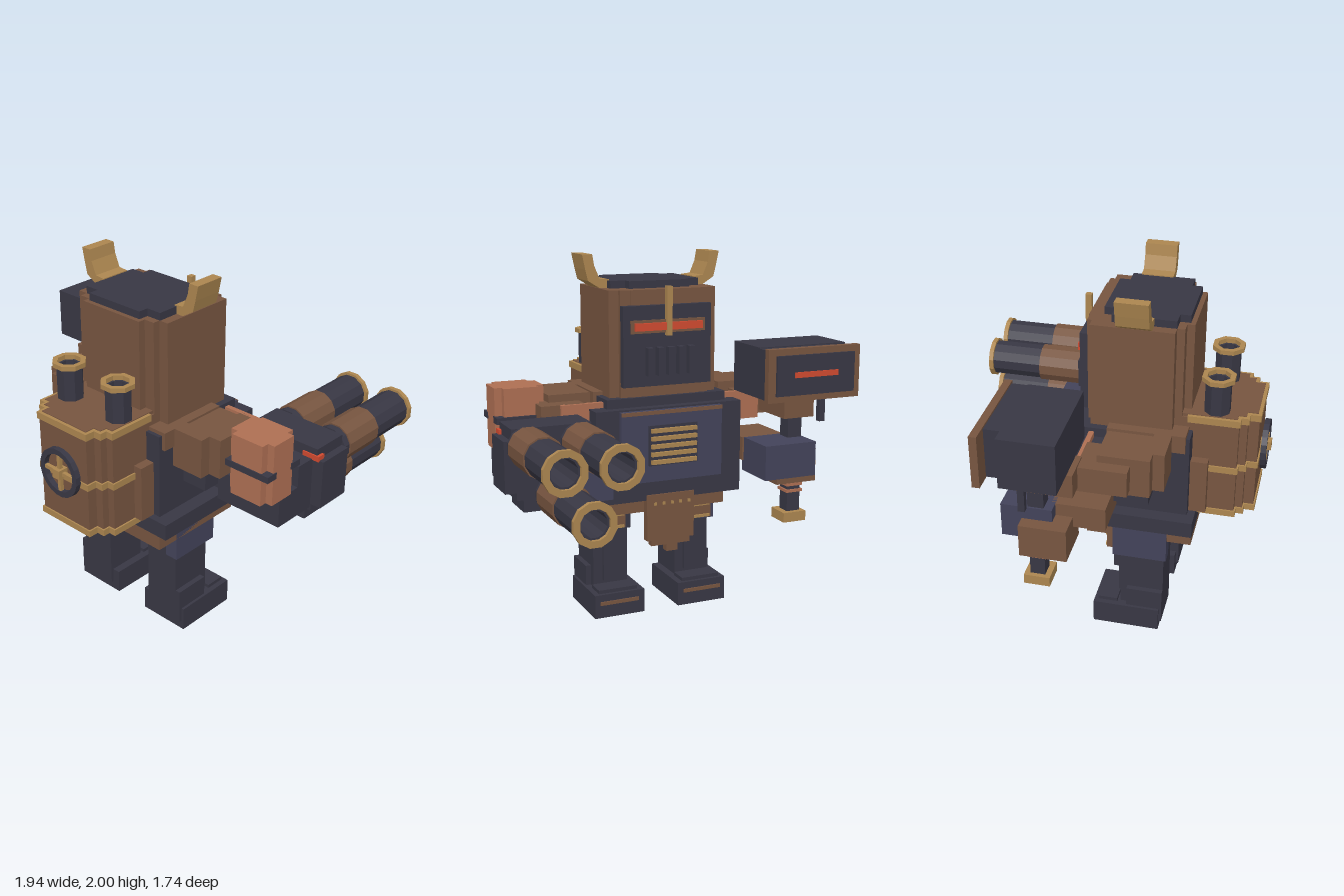
import * as THREE from 'three';

const mat = (name, color) => {
  const m = new THREE.MeshStandardMaterial({ color });
  m.name = name;
  return m;
};

export function createModel() {
  const root = new THREE.Group();
  root.name = 'steamRobot';
  const brown = mat('brown', 0x775540), dark = mat('charcoal', 0x383744), navy = mat('slate', 0x43435a);
  const gold = mat('brass', 0xac8650), copper = mat('copper', 0xae6f53), red = mat('glow red', 0xd04a30);

  const add = (name, geo, m) => {
    const mesh = new THREE.Mesh(geo, m);
    mesh.name = name;
    root.add(mesh);
    return mesh;
  };
  // box given by its limits on each axis
  const box = (name, m, x0, x1, y0, y1, z0, z1) => {
    const mesh = add(name, new THREE.BoxGeometry(x1 - x0, y1 - y0, z1 - z0), m);
    mesh.position.set((x0 + x1) / 2, (y0 + y1) / 2, (z0 + z1) / 2);
    return mesh;
  };
  // the same box on both sides of x = 0
  const pair = (name, m, x0, x1, ...r) => {
    box('left ' + name, m, x0, x1, ...r);
    box('right ' + name, m, -x1, -x0, ...r);
  };
  // faceted hollow tube along +z
  const tube = (name, m, r, inner, depth, sides, x, y, z) => {
    const ring = (q) => Array.from({ length: sides }, (_, i) => {
      const a = (i + 0.5) / sides * Math.PI * 2;
      return new THREE.Vector2(q * Math.cos(a), q * Math.sin(a));
    });
    const s = new THREE.Shape(ring(r));
    s.holes.push(new THREE.Path(ring(inner).reverse()));
    const mesh = add(name, new THREE.ExtrudeGeometry(s, { depth, bevelEnabled: false }), m);
    mesh.position.set(x, y, z);
    return mesh;
  };

  // legs and feet
  pair('foot', dark, 0.105, 0.4, 0, 0.135, -0.02, 0.35);
  pair('toe step', dark, 0.14, 0.37, 0.13, 0.155, 0, 0.11);
  pair('toe strap', brown, 0.14, 0.37, 0.075, 0.095, -0.028, -0.015);
  pair('ankle', dark, 0.15, 0.385, 0.05, 0.25, 0.165, 0.365);
  pair('shin', dark, 0.15, 0.355, 0.13, 0.48, 0.125, 0.365);
  pair('shin ridge', dark, 0.2, 0.3, 0.17, 0.47, 0.105, 0.14);
  pair('thigh', dark, 0.14, 0.36, 0.47, 0.7, 0.09, 0.375);
  pair('thigh plate', navy, 0.3, 0.375, 0.47, 0.69, 0.085, 0.38);
  pair('knee plate', brown, 0.19, 0.34, 0.49, 0.59, 0.045, 0.1);
  for (const y of [0.5, 0.57]) pair('knee stud', gold, 0.2, 0.33, y - 0.008, y + 0.008, 0.036, 0.05);

  // waist, belt and hanging cloth
  box('skirt', brown, -0.365, 0.375, 0.6, 0.7, -0.06, 0.51);
  box('belt', dark, -0.42, 0.43, 0.69, 0.78, -0.15, 0.45);
  box('belt front', dark, -0.42, 0.43, 0.69, 0.78, 0.4, 0.52);
  const cloth = new THREE.Shape([[-0.135, 0.72], [-0.135, 0.46], [-0.11, 0.46], [-0.11, 0.43], [-0.035, 0.43],
    [-0.035, 0.39], [0.03, 0.39], [0.03, 0.43], [0.12, 0.43], [0.12, 0.46], [0.145, 0.46], [0.145, 0.72]]
    .map(p => new THREE.Vector2(...p)));
  add('cloth', new THREE.ExtrudeGeometry(cloth, { depth: 0.045, bevelEnabled: false }), brown).position.z = -0.158;
  for (let i = 0; i < 5; i++) box('cloth stud', gold, -0.11 + i * 0.05, -0.095 + i * 0.05, 0.66, 0.675, -0.165, -0.155);

  // torso and chest
  box('torso', dark, -0.345, 0.35, 0.78, 1.25, -0.1, 0.48);
  box('chest', dark, -0.42, 0.43, 0.78, 1.2, -0.15, 0.06);
  box('collar', brown, -0.36, 0.37, 1.17, 1.27, 0.05, 0.46);
  box('chest plate', navy, -0.29, 0.3, 0.8, 1.19, -0.18, -0.14);
  box('chest plate rim', brown, -0.29, 0.3, 1.17, 1.19, -0.187, -0.18);
  box('grille back', dark, -0.14, 0.145, 0.89, 1.11, -0.188, -0.18);
  for (let i = 0; i < 5; i++) box('grille bar', gold, -0.13, 0.135, 0.9 + i * 0.043, 0.922 + i * 0.043, -0.205, -0.18);

  // boiler in three stepped slabs with brass bands
  const slabs = [[0.255, 0.715], [0.215, 0.755], [0.17, 0.81]];
  for (const [w, z] of slabs) {
    box('boiler', brown, -w + 0.005, w + 0.005, 0.74, 1.325, 0.4, z);
    for (const [y0, y1] of [[0.745, 0.78], [1.015, 1.05], [1.3, 1.337]])
      box('boiler band', gold, -w - 0.004, w + 0.014, y0, y1, 0.45, z + 0.008);
    box('boiler lid', brown, -w + 0.015, w - 0.005, 1.32, 1.341, 0.4, z - 0.01);
  }
  box('boiler side', brown, -0.3, 0.31, 0.78, 1.09, 0.36, 0.57);

  // valve wheel
  tube('wheel rim', dark, 0.135, 0.105, 0.03, 20, 0.005, 1.065, 0.822);
  box('wheel spoke', gold, -0.1, 0.11, 1.055, 1.075, 0.828, 0.848);
  box('wheel spoke', gold, -0.005, 0.015, 0.96, 1.17, 0.828, 0.848);
  box('wheel hub', gold, -0.02, 0.03, 1.04, 1.09, 0.81, 0.868);

  // chimneys
  for (const x of [-0.17, 0.18]) {
    const pipe = tube('chimney', dark, 0.07, 0.05, 0.19, 8, x, 1.33, 0.59);
    const rim = tube('chimney rim', gold, 0.09, 0.062, 0.025, 8, x, 1.52, 0.59);
    pipe.rotation.x = rim.rotation.x = -Math.PI / 2;
    box('chimney core', dark, x - 0.045, x + 0.045, 1.33, 1.46, 0.545, 0.635);
  }

  // head, stepped at the corners
  box('head', brown, -0.305, 0.315, 1.25, 1.82, -0.05, 0.38);
  box('head', brown, -0.25, 0.26, 1.25, 1.82, -0.075, 0.42);
  box('head', brown, -0.19, 0.2, 1.25, 1.82, -0.08, 0.46);
  box('head cap', dark, -0.25, 0.265, 1.81, 1.86, 0.05, 0.38);
  box('head cap', dark, -0.17, 0.18, 1.81, 1.86, -0.005, 0.435);

  // face
  box('face plate', dark, -0.25, 0.26, 1.31, 1.74, -0.115, -0.07);
  box('visor frame', brown, -0.21, 0.22, 1.595, 1.665, -0.123, -0.11);
  box('visor', red, -0.19, 0.2, 1.61, 1.65, -0.14, -0.115);
  box('nose rod', gold, -0.01, 0.02, 1.58, 1.84, -0.145, -0.112);
  for (let i = 0; i < 5; i++) box('vent bar', dark, -0.14 + i * 0.06, -0.105 + i * 0.06, 1.37, 1.52, -0.155, -0.1);

  // horns
  for (const s of [1, -1]) {
    const pts = [[0.25, 1.82], [0.305, 1.82], [0.37, 1.86], [0.385, 1.92], [0.402, 2], [0.345, 2], [0.335, 1.94], [0.305, 1.87], [0.25, 1.865]];
    const horn = new THREE.Shape(pts.map(([x, y]) => new THREE.Vector2(s * x + 0.003, y)));
    add('horn', new THREE.ExtrudeGeometry(horn, { depth: 0.17, bevelEnabled: false }), gold).position.z = 0.095;
  }

  // shoulders and upper arms
  pair('shoulder', brown, 0.385, 0.62, 1.055, 1.27, 0.06, 0.33);
  pair('shoulder front', brown, 0.36, 0.55, 1.055, 1.27, 0.3, 0.39);
  pair('shoulder back', brown, 0.45, 0.69, 1.09, 1.23, -0.03, 0.23);
  pair('shoulder plate', copper, 0.345, 0.585, 1.07, 1.23, -0.048, -0.02);
  pair('upper arm', dark, 0.34, 0.5, 0.92, 1.06, 0.02, 0.3);
  pair('forearm', navy, 0.44, 0.75, 0.8, 0.99, -0.41, -0.14);

  // left arm: copper tank with clamps
  box('tank', copper, 0.63, 0.9, 0.985, 1.32, 0.11, 0.26);
  box('tank', copper, 0.67, 0.86, 0.985, 1.32, 0.068, 0.302);
  for (const z of [0.055, 0.24]) box('tank clamp', dark, 0.635, 0.905, 1.135, 1.17, z, z + 0.068);
  box('elbow', dark, 0.5, 0.9, 0.83, 1.0, -0.06, 0.2);
  box('elbow top', dark, 0.75, 0.9, 0.95, 1.12, -0.06, 0.055);

  // left arm: triple gun
  box('gun body', dark, 0.46, 0.965, 0.85, 1.12, -0.27, -0.06);
  box('gun body top', dark, 0.5, 0.925, 1.1, 1.18, -0.27, -0.06);
  box('gun body bottom', dark, 0.55, 0.87, 0.745, 0.86, -0.27, -0.06);
  box('gun corner', dark, 0.85, 0.905, 0.81, 0.86, -0.27, -0.06);
  for (const x of [0.47, 0.84]) box('gun light', red, x, x + 0.1, 1.115, 1.145, -0.1, -0.052);
  for (const [x, y] of [[0.57, 1.09], [0.85, 1.09], [0.71, 0.83]]) {
    tube('barrel', dark, 0.1, 0.068, 0.58, 12, x, y, -0.85);
    tube('barrel sleeve', brown, 0.108, 0.09, 0.25, 12, x, y, -0.56);
    tube('barrel muzzle', gold, 0.113, 0.078, 0.025, 12, x, y, -0.87);
  }

  // right arm: mounted cannon box
  box('cannon mount', brown, -0.785, -0.6, 1.11, 1.24, -0.32, -0.02);
  box('cannon body', dark, -0.96, -0.43, 1.24, 1.515, -0.34, -0.05);
  box('cannon neck', dark, -0.88, -0.43, 1.24, 1.51, -0.43, -0.33);
  box('cannon frame', brown, -0.975, -0.415, 1.235, 1.52, -0.465, -0.425);
  box('cannon panel', dark, -0.935, -0.46, 1.27, 1.485, -0.48, -0.46);
  box('cannon slit', red, -0.83, -0.565, 1.365, 1.395, -0.487, -0.478);
  box('peg', dark, -0.89, -0.855, 1.065, 1.24, -0.27, -0.235);
  box('peg collar', gold, -0.905, -0.835, 1.225, 1.242, -0.285, -0.22);

  // right arm: lower arm and tool
  box('arm piston', dark, -0.74, -0.655, 0.97, 1.12, -0.27, -0.185);
  box('lower arm', brown, -0.685, -0.43, 0.86, 0.99, -0.16, 0.12);
  box('wrist', brown, -0.82, -0.575, 0.735, 0.92, -0.3, -0.05);
  box('tool shaft', dark, -0.74, -0.66, 0.56, 0.75, -0.27, -0.19);
  for (const y of [0.675, 0.712]) box('tool ring', copper, -0.75, -0.65, y, y + 0.016, -0.28, -0.18);
  box('tool tip', gold, -0.765, -0.625, 0.51, 0.565, -0.3, -0.16);

  return root;
}
